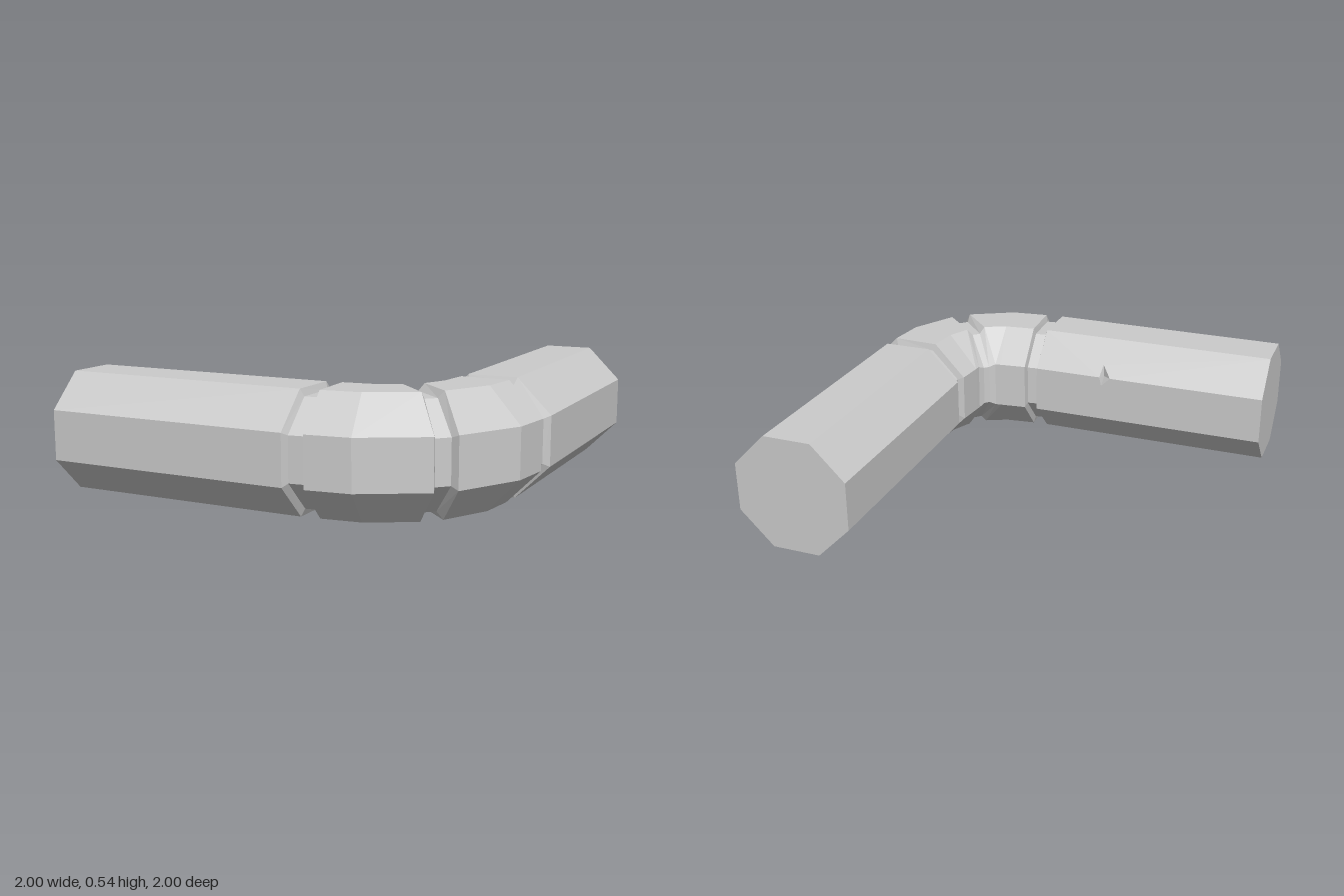
import * as THREE from 'three';

const MID = 0.2675, FULL = 0.2675, NECK = 0.235, F = 0.42;
// unit octagon: s runs from inside to outside of the bend, t is up
const OCT = [[1, -F], [1, F], [F, 1], [-F, 1], [-1, F], [-1, -F], [-F, -1], [F, -1]];

const material = new THREE.MeshStandardMaterial({ color: 0xcccccc, flatShading: true });

function meshFrom(name, triangles) {
  const geometry = new THREE.BufferGeometry();
  geometry.setAttribute('position', new THREE.Float32BufferAttribute(triangles.flat(), 3));
  geometry.computeVertexNormals();
  const mesh = new THREE.Mesh(geometry, material);
  mesh.name = name;
  return mesh;
}

// ring: inner x, inner z, outer x, outer z, half height
function ringPoints([ix, iz, ox, oz, h]) {
  return OCT.map(([s, t]) => [
    (ix + ox) / 2 + s * (ox - ix) / 2, MID + t * h, (iz + oz) / 2 + s * (oz - iz) / 2,
  ]);
}

function loft(name, rings, { capStart = false, capEnd = false, skip = [] } = {}) {
  const pts = rings.map(ringPoints), tris = [];
  for (let i = 0; i + 1 < pts.length; i++) {
    for (let j = 0; j < 8; j++) {
      if (skip.includes(j)) continue;
      const k = (j + 1) % 8, a = pts[i], b = pts[i + 1];
      tris.push(a[j], b[j], b[k], a[j], b[k], a[k]);
    }
  }
  const last = pts[pts.length - 1];
  for (let j = 1; j < 7; j++) {
    if (capStart) tris.push(pts[0][0], pts[0][j], pts[0][j + 1]);
    if (capEnd) tris.push(last[0], last[j + 1], last[j]);
  }
  return meshFrom(name, tris);
}

// the two inner faces of the left-hand pipe, with a small chip in their shared edge
function chippedFaces(rings) {
  const [p, q] = rings.map(ringPoints);
  const [b0, a0, c0] = [p[3], p[4], p[5]], [b1, a1, c1] = [q[3], q[4], q[5]];
  const y = a0[1], z = a0[2];
  const L = [-0.235, y, z], R = [-0.18, y, z];
  const U = [-0.187, y + 0.05, z + 0.05], D = [-0.19, y - 0.045, z];
  const M = [-0.195, y - 0.005, z + 0.035];
  return meshFrom('chippedInnerFaces', [
    a0, b0, L, L, b0, U, U, b0, b1, U, b1, R, R, b1, a1,
    a0, L, c0, L, D, c0, D, c1, c0, D, R, c1, R, a1, c1,
    L, U, M, U, R, M, R, D, M, D, L, M,
  ]);
}

export function createModel() {
  const group = new THREE.Group();
  group.name = 'pipeElbow';

  const pipe = [[-1, 0.46, -1, 0.993, FULL], [0.155, 0.46, 0.15, 0.995, FULL]];
  const neck = [
    pipe[1],
    [0.167, 0.493, 0.165, 0.965, NECK],
    [0.215, 0.488, 0.234, 0.957, NECK],
    [0.22, 0.457, 0.245, 0.985, FULL],
  ];
  const elbow = [
    neck[3],
    [0.345, 0.443, 0.445, 0.96, FULL],
    [0.375, 0.44, 0.728, 0.802, FULL],
  ];
  const seamHalf = [elbow[2], [0.405, 0.425, 0.715, 0.765, NECK]];

  // swapping x and z reflects a run of rings across the bend
  const mirror = (rings) => rings.map(([ix, iz, ox, oz, h]) => [iz, ix, oz, ox, h]).reverse();

  group.add(
    loft('sidePipe', pipe, { capStart: true, skip: [3, 4] }),
    chippedFaces(pipe),
    loft('sideNeck', neck),
    loft('sideElbow', elbow),
    loft('middleSeam', [...seamHalf, ...mirror(seamHalf)]),
    loft('rearElbow', mirror(elbow)),
    loft('rearNeck', mirror(neck)),
    loft('rearPipe', mirror(pipe), { capEnd: true }),
  );
  return group;
}
